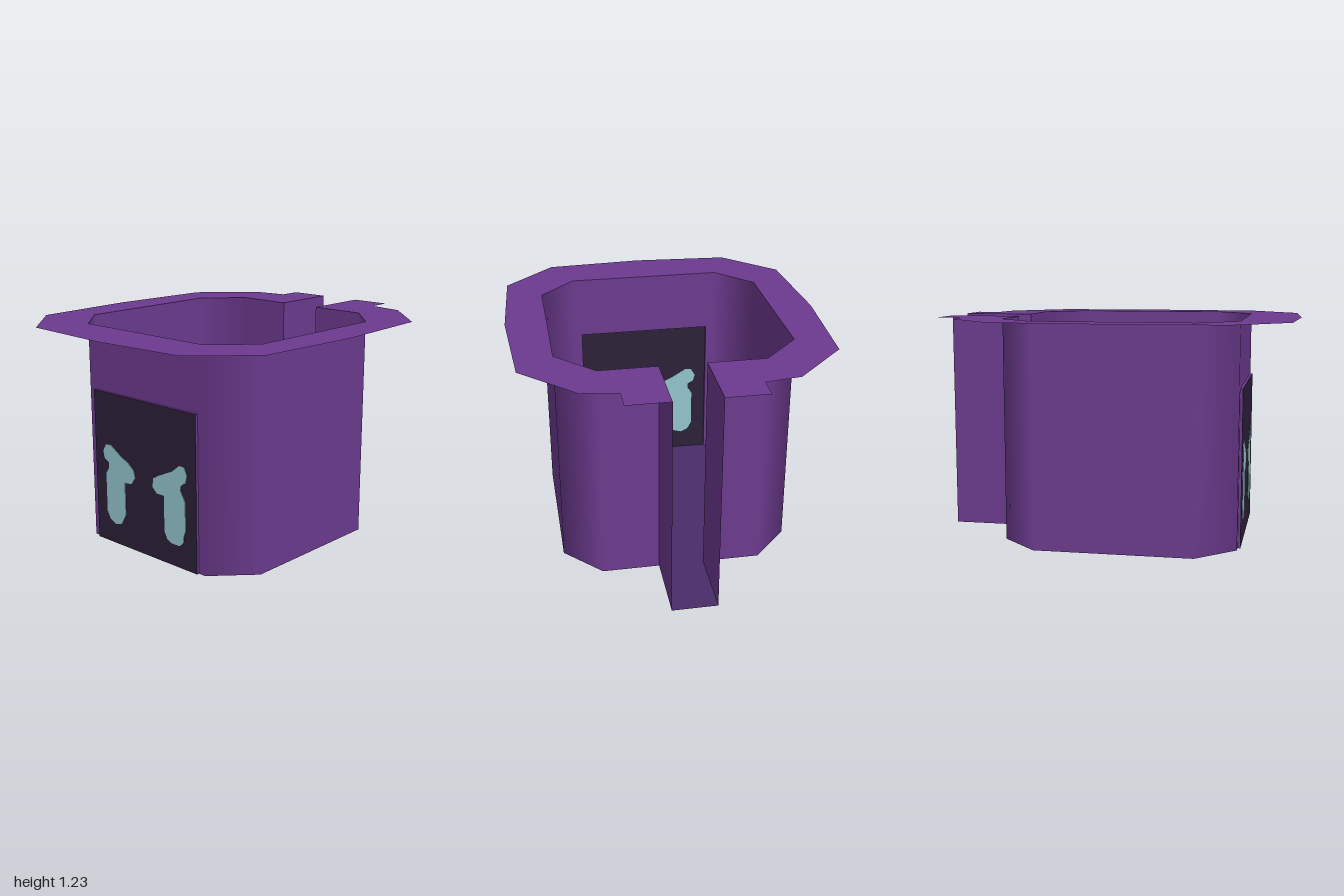
import * as THREE from 'three';
import { mergeGeometries } from 'three/addons/utils/BufferGeometryUtils.js';

const material = (name, color) =>
  new THREE.MeshStandardMaterial({ name, color, side: THREE.DoubleSide });

const HEIGHT = 1.23;
const FRONT = 0.69;
const PANEL = { half: 0.395, top: 0.87, z: 0.705 };

// Right half of the wall outline in plan [x, z], from the front to the slot end
const wallHalf = [[0.44, FRONT], [0.64, 0.48], [0.64, -0.39], [0.44, -0.6], [0.125, -0.6], [0.125, -1]];
// Right half of the brim edge, from the front to the back
const brimHalf = [[0, 0.995], [0.55, 0.96], [0.835, 0.675], [0.87, 0.06], [0.835, -0.555],
  [0.55, -0.84], [0.355, -0.87], [0.355, -1]];

// Upright quad between two plan points, with a normal for each end
function wallQuad(a, b, y0, y1, na, nb) {
  const flat = new THREE.Vector3(a[1] - b[1], 0, b[0] - a[0]).normalize();
  const [p, q] = [na ?? flat, nb ?? flat];
  const g = new THREE.BufferGeometry();
  g.setAttribute('position', new THREE.Float32BufferAttribute(
    [a[0], y0, a[1], b[0], y0, b[1], b[0], y1, b[1], a[0], y1, a[1]], 3));
  g.setAttribute('normal', new THREE.Float32BufferAttribute(
    [p, q, q, p].flatMap((n) => [n.x, n.y, n.z]), 3));
  g.setIndex([0, 1, 2, 0, 2, 3]);
  return g;
}

// Level sheet facing up from plan points
function levelSheet(points, y) {
  const shape = new THREE.Shape(points.map(([x, z]) => new THREE.Vector2(x, -z)));
  return new THREE.ShapeGeometry(shape).rotateX(-Math.PI / 2).translate(0, y, 0);
}

const mirrored = (half) => half.map(([x, z]) => [-x, z]);

export function createModel() {
  const purple = material('purple', 0x6b3a8e);
  const deepPurple = material('deep purple', 0x4a2c6a);
  const dark = material('dark panel', 0x2b2038);
  const teal = material('pale teal', 0x92c4cb);

  const model = new THREE.Group();
  model.name = 'hollowBody';
  const add = (name, geometry, mat) => {
    const mesh = new THREE.Mesh(geometry, mat);
    mesh.name = name;
    model.add(mesh);
    return mesh;
  };

  // Walls: flat sides, with chamfers shaded smoothly from one side to the next
  const path = [...mirrored(wallHalf).reverse(), ...wallHalf];
  const normalOf = (i) => new THREE.Vector3(
    path[i][1] - path[i + 1][1], 0, path[i + 1][0] - path[i][0]).normalize();
  const quads = [];
  for (let i = 0; i < path.length - 1; i++) {
    const [a, b] = [path[i], path[i + 1]];
    if (i === wallHalf.length - 1) continue; // front is built around the panel
    const chamfer = a[0] !== b[0] && a[1] !== b[1];
    quads.push(chamfer
      ? wallQuad(a, b, 0, HEIGHT, normalOf(i - 1), normalOf(i + 1))
      : wallQuad(a, b, 0, HEIGHT));
  }
  const { half, top, z } = PANEL;
  quads.push(
    wallQuad([-0.44, FRONT], [-half, FRONT], 0, HEIGHT),
    wallQuad([half, FRONT], [0.44, FRONT], 0, HEIGHT),
    wallQuad([-half, FRONT], [half, FRONT], top, HEIGHT));
  add('walls', mergeGeometries(quads), purple);

  // Narrow frame that carries the panel forward of the front wall
  add('panelFrame', mergeGeometries([
    wallQuad([-half, FRONT], [-half, z], 0, top),
    wallQuad([half, z], [half, FRONT], 0, top),
  ]), purple);
  const rim = [[-half, FRONT], [-half, z], [half, z], [half, FRONT]];
  add('panelTop', levelSheet(rim, top), purple);
  add('panelBottom', levelSheet(rim, 0), deepPurple);

  // Floor, running out into the slot
  add('floor', levelSheet(path, 0), deepPurple);

  // Flat brim between the wall top and the outer edge, open at the slot
  const brim = [...wallHalf.slice().reverse(), ...mirrored(wallHalf),
    ...mirrored(brimHalf).reverse(), ...brimHalf.slice(1)];
  add('brim', levelSheet(brim, HEIGHT), purple);

  // Face panel, seen from outside and inside
  add('facePanel', new THREE.PlaneGeometry(half * 2, top).translate(0, top / 2, z), dark);

  // Eye markings [x, y], showing on both faces of the panel
  const eyes = {
    rightEye: [[-0.33, 0.53], [-0.305, 0.572], [-0.265, 0.575], [-0.19, 0.53], [-0.12, 0.497],
      [-0.08, 0.465], [-0.07, 0.425], [-0.1, 0.385], [-0.155, 0.38], [-0.155, 0.19],
      [-0.19, 0.13], [-0.24, 0.115], [-0.285, 0.135], [-0.31, 0.18], [-0.31, 0.4],
      [-0.285, 0.44], [-0.285, 0.47], [-0.32, 0.49]],
    leftEye: [[0.33, 0.53], [0.31, 0.572], [0.275, 0.573], [0.22, 0.53], [0.12, 0.485],
      [0.075, 0.46], [0.067, 0.41], [0.1, 0.38], [0.155, 0.38], [0.155, 0.18], [0.175, 0.14],
      [0.21, 0.125], [0.27, 0.125], [0.3, 0.155], [0.3, 0.18], [0.315, 0.22], [0.315, 0.38],
      [0.28, 0.44], [0.285, 0.465], [0.32, 0.49]],
  };
  for (const [name, points] of Object.entries(eyes)) {
    const shape = new THREE.Shape(points.map(([x, y]) => new THREE.Vector2(x, y)));
    const plate = new THREE.ExtrudeGeometry(shape, { depth: 0.006, bevelEnabled: false });
    add(name, plate.translate(0, 0, z - 0.003), teal);
  }

  return model;
}
